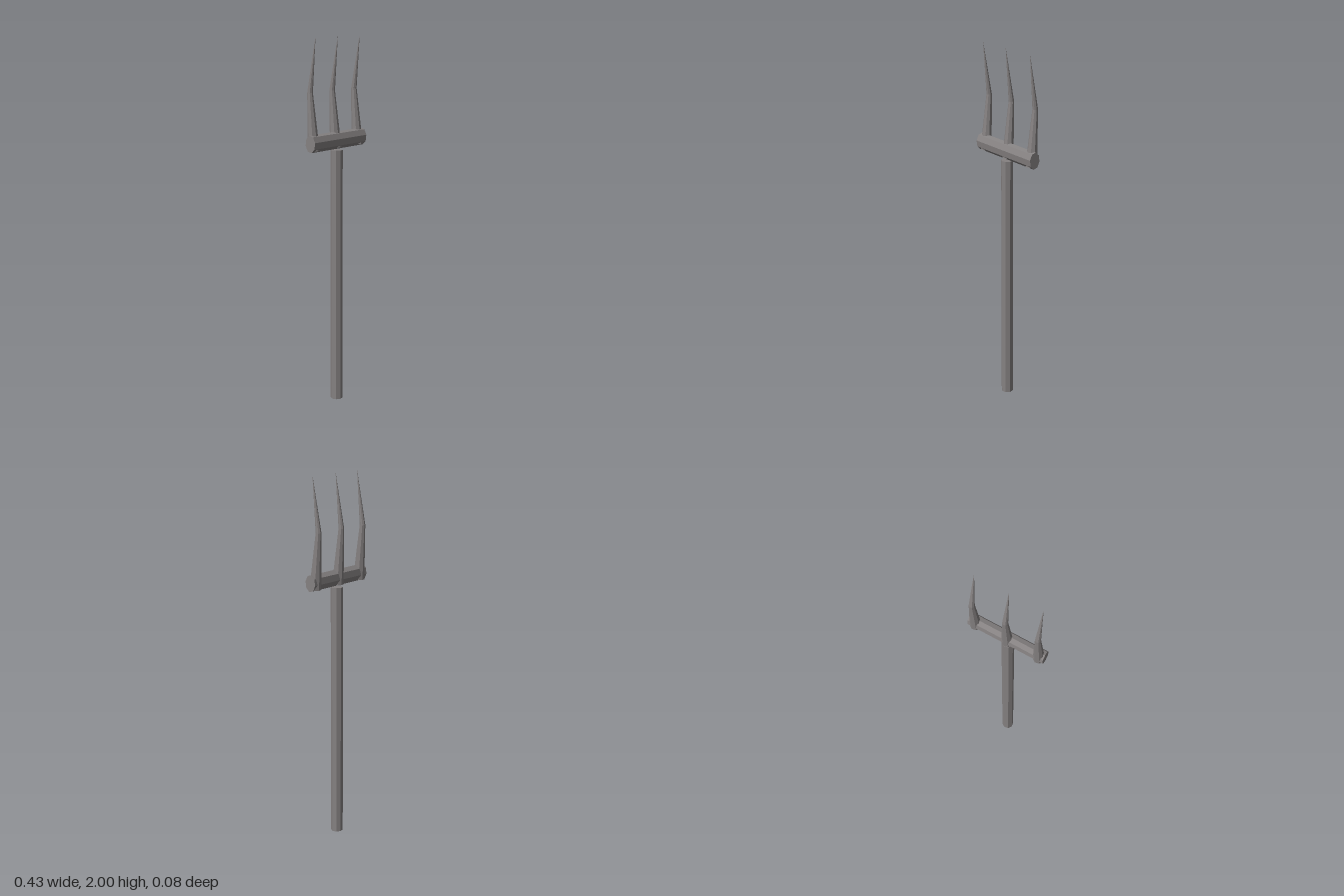
import * as THREE from 'three';

const SIDES = 8;
const TURN = THREE.MathUtils.degToRad(-11);

// Faceted normals for the low-poly look
function faceted(geometry) {
  const flat = geometry.toNonIndexed();
  flat.computeVertexNormals();
  return flat;
}

// Tapered tine that leans back to a bend, then forward to a sharp tip
function tineGeometry() {
  const rings = [
    { y: 1.41, z: 0, r: 0.031 },
    { y: 1.71, z: -0.024, r: 0.015 },
    { y: 1.995, z: 0.014, r: 0.0005 },
  ];
  const g = new THREE.CylinderGeometry(1, 1, 2, SIDES, 2, false, TURN);
  const p = g.attributes.position;
  for (let i = 0; i < p.count; i++) {
    const ring = rings[Math.round(p.getY(i) + 1)];
    p.setXYZ(i, p.getX(i) * ring.r, ring.y, p.getZ(i) * ring.r + ring.z);
  }
  return faceted(g);
}

export function createModel() {
  const model = new THREE.Group();
  model.name = 'pitchfork';
  const iron = new THREE.MeshStandardMaterial({ color: 0x858181 });
  iron.name = 'grey iron';

  const add = (name, geometry, x, y, z) => {
    const mesh = new THREE.Mesh(geometry, iron);
    mesh.name = name;
    mesh.position.set(x, y, z);
    model.add(mesh);
  };

  // Long shaft, stopping just below the crossbar
  const shaft = new THREE.CylinderGeometry(0.033, 0.033, 1.395, SIDES, 1, false, TURN);
  add('shaft', faceted(shaft), -0.002, 0.6975, 0.0055);

  // Crossbar, a taller-than-deep octagonal rod
  const bar = new THREE.CylinderGeometry(0.033, 0.033, 0.434, SIDES, 1, false, TURN);
  bar.rotateZ(-Math.PI / 2).scale(1, 1.4, 1);
  add('crossbar', faceted(bar), -0.001, 1.447, 0.0055);

  // Three matching tines
  const tine = tineGeometry();
  const tines = { rightTine: -0.184, middleTine: -0.003, leftTine: 0.183 };
  for (const [name, x] of Object.entries(tines)) add(name, tine, x, 0, 0);

  return model;
}
